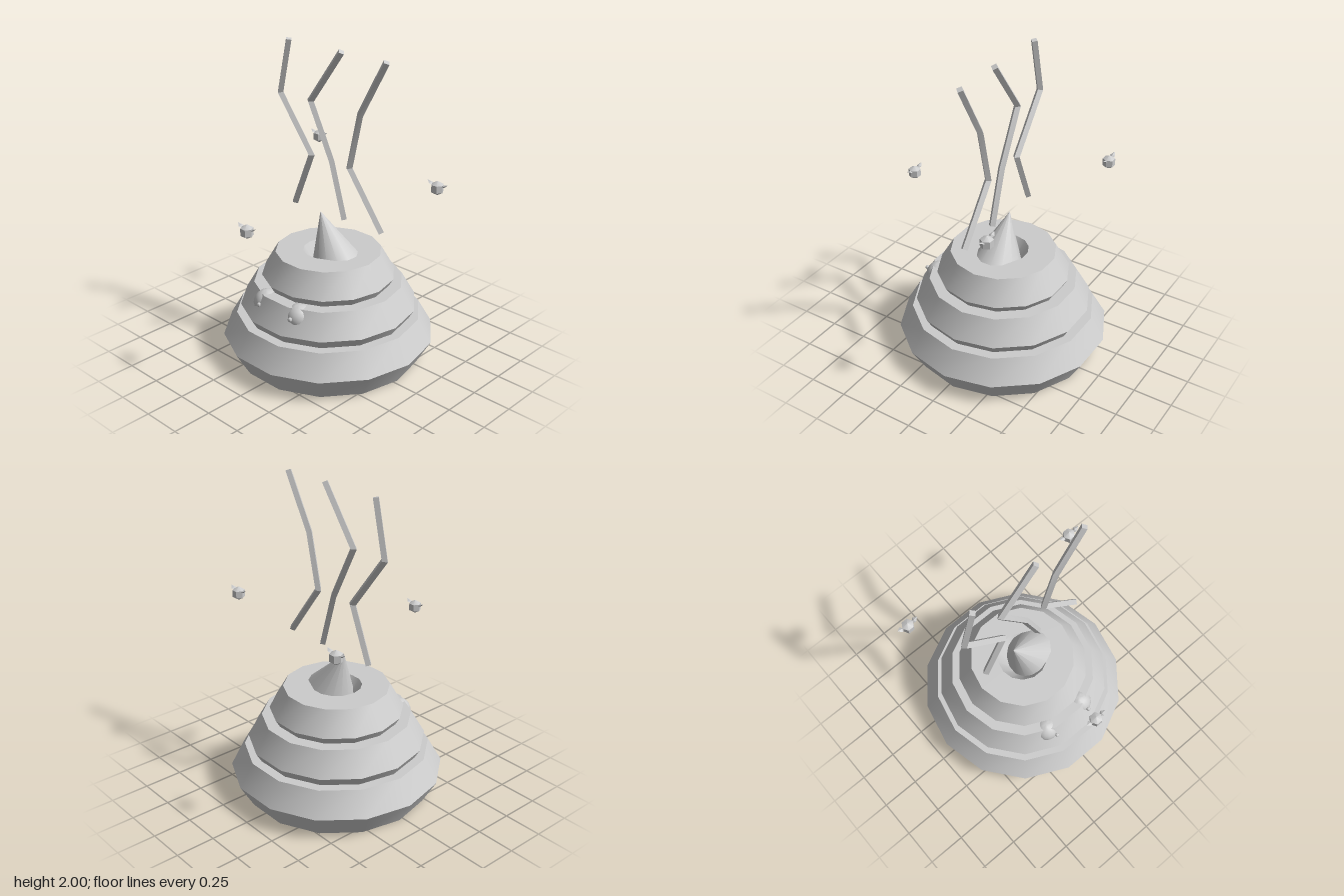
import * as THREE from 'three';
import { toCreasedNormals } from 'three/addons/utils/BufferGeometryUtils.js';

const CX = -0.01, CZ = -0.03; // axis of the coiled pile

export function createModel() {
  const model = new THREE.Group();
  model.name = 'steamingPile';
  const grey = new THREE.MeshStandardMaterial({ color: 0xcccccc });
  grey.name = 'light grey';

  const add = (parent, name, geometry, x = 0, y = 0, z = 0, crease = 0.7) => {
    const mesh = new THREE.Mesh(toCreasedNormals(geometry, crease), grey);
    mesh.name = name;
    mesh.position.set(x, y, z);
    parent.add(mesh);
    return mesh;
  };

  // Three stacked coils with a hexagonal section
  [['lowerCoil', 0.5, 0.152], ['middleCoil', 0.385, 0.361], ['upperCoil', 0.247, 0.559]]
    .forEach(([name, radius, y]) => {
      add(model, name, new THREE.TorusGeometry(radius, 0.175, 6, 14).rotateX(Math.PI / 2), CX, y, CZ);
    });

  // Leaning tip
  const tip = add(model, 'tip', new THREE.ConeGeometry(0.161, 0.328, 14), -0.014, 0.795, CZ);
  tip.rotation.z = 0.415;

  // Eyes sunk into the middle coil
  for (const [side, s] of [['right', -1], ['left', 1]]) {
    add(model, side + 'Eye', new THREE.SphereGeometry(0.084, 16, 12), CX + s * 0.14, 0.44, 0.375);
    add(model, side + 'Pupil', new THREE.SphereGeometry(0.014, 8, 6), 0.005 + s * 0.135, 0.46, 0.462);
  }

  // Wisps of steam
  const wisps = [
    [[-0.3, 0.95], [-0.155, 1.3], [-0.42, 1.645], [-0.34, 1.993]],
    [[0.12, 0.95], [0.015, 1.3], [-0.16, 1.645], [0.09, 1.987]],
    [[0.42, 0.95], [0.16, 1.295], [0.24, 1.645], [0.43, 1.987]],
  ];
  wisps.forEach((path, i) => add(model, 'steamWisp' + (i + 1), wispGeometry(path, 0.023), 0, 0, CZ, 0.5));

  // Flies
  [[-0.52, 1.225, -0.475], [0.605, 1.21, -0.31], [-0.01, 1.05, 0.645]].forEach((p, i) => {
    const fly = new THREE.Group();
    fly.name = 'fly' + (i + 1);
    fly.position.set(...p);
    add(fly, 'flyBody', new THREE.SphereGeometry(0.045, 6, 3));
    for (const s of [-1, 1]) {
      const wing = new THREE.OctahedronGeometry(1).scale(0.029, 0.007, 0.018);
      add(fly, 'flyWing', wing, s * 0.049, 0.022, 0, 0.3).rotation.z = s * 0.5;
    }
    model.add(fly);
  });

  return model;
}

// Diamond section swept along a bent path in the xy plane, mitred at the bends
function wispGeometry(path, r) {
  const pts = path.map(([x, y]) => new THREE.Vector2(x, y));
  const last = pts.length - 1;
  const side = (i) => {
    const d = pts[i + 1].clone().sub(pts[i]).normalize();
    return new THREE.Vector2(d.y, -d.x);
  };
  const positions = [], index = [];
  pts.forEach((p, i) => {
    const a = side(Math.max(i - 1, 0)), b = side(Math.min(i, last - 1));
    const m = a.clone().add(b).normalize();
    m.multiplyScalar(r / m.dot(a));
    positions.push(p.x + m.x, p.y + m.y, 0, p.x, p.y, -r, p.x - m.x, p.y - m.y, 0, p.x, p.y, r);
    if (i === last) return;
    for (let k = 0; k < 4; k++) {
      const q = i * 4 + k, n = i * 4 + (k + 1) % 4;
      index.push(q, n, n + 4, q, n + 4, q + 4);
    }
  });
  const e = last * 4;
  index.push(0, 2, 1, 0, 3, 2, e, e + 1, e + 2, e, e + 2, e + 3);
  const geometry = new THREE.BufferGeometry();
  geometry.setAttribute('position', new THREE.Float32BufferAttribute(positions, 3));
  geometry.setIndex(index);
  return geometry;
}
